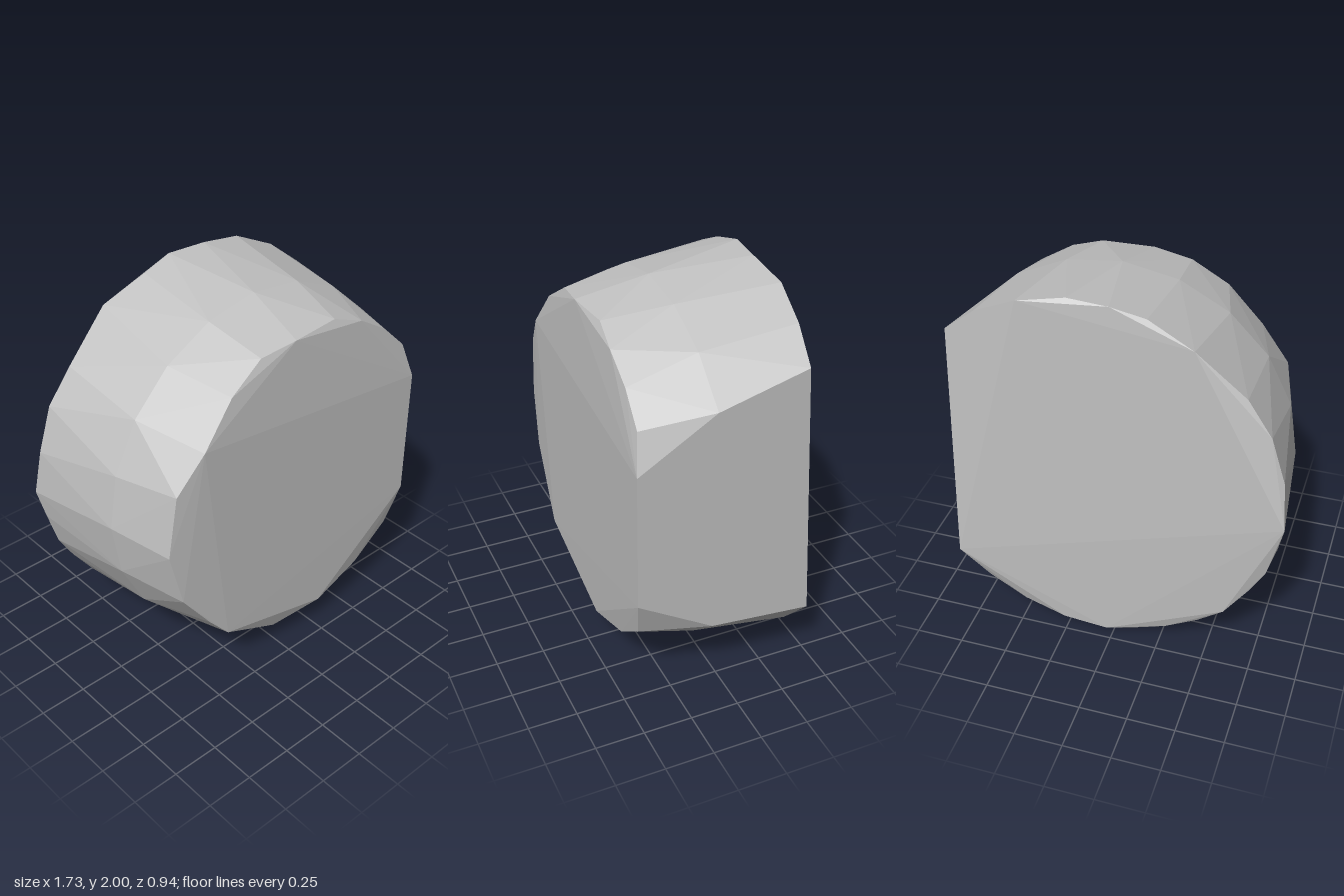
import * as THREE from 'three';
import { ConvexGeometry } from 'three/addons/geometries/ConvexGeometry.js';

// Outline of the smaller front end: x, y, z
const FRONT = [
  [0.86, 1.36, 0.467], [0.795, 1.555, 0.437], [0.65, 1.695, 0.43], [0.48, 1.8, 0.43],
  [0.31, 1.862, 0.41], [0.04, 1.857, 0.43], [-0.16, 1.83, 0.408], [-0.35, 1.71, 0.425],
  [-0.53, 1.5, 0.445], [-0.68, 1.31, 0.42], [-0.73, 0.98, 0.415], [-0.66, 0.68, 0.425],
  [-0.5, 0.46, 0.435], [-0.39, 0.33, 0.445], [-0.2, 0.245, 0.43], [-0.04, 0.145, 0.415],
  [0.26, 0.175, 0.452], [0.56, 0.265, 0.435], [0.78, 0.435, 0.437], [0.86, 0.65, 0.467],
];

// Outline of the wider back end
const BACK = [
  [0.84, 1.71, -0.38], [0.67, 1.85, -0.405], [0.45, 1.955, -0.43], [0.21, 2, -0.41],
  [0, 2, -0.43], [-0.17, 1.955, -0.41], [-0.4, 1.85, -0.445], [-0.645, 1.62, -0.41],
  [-0.77, 1.44, -0.425], [-0.845, 1.2, -0.43], [-0.87, 0.95, -0.47], [-0.84, 0.8, -0.44],
  [-0.79, 0.62, -0.43], [-0.71, 0.48, -0.43], [-0.59, 0.31, -0.44], [-0.45, 0.19, -0.42],
  [-0.28, 0.095, -0.42], [-0.13, 0.04, -0.42], [0.04, 0, -0.435], [0.28, 0.015, -0.43],
  [0.51, 0.07, -0.41], [0.71, 0.19, -0.41], [0.86, 0.36, -0.445],
];

// Bulging middle ring: a circle cut off by the flat side
function middleRing() {
  const points = [];
  const start = 39.05, steps = 16;
  for (let i = 0; i <= steps; i++) {
    const a = THREE.MathUtils.degToRad(start + (360 - 2 * start) * i / steps);
    points.push([0.13 + 0.94 * Math.cos(a), 1.005 + 0.943 * Math.sin(a), 0.08]);
  }
  return points;
}

export function createModel() {
  const grey = new THREE.MeshStandardMaterial({ color: 0xc0c0c0, flatShading: true });
  grey.name = 'grey';

  // Faceted drum with one flat side
  const points = [...FRONT, ...middleRing(), ...BACK].map(p => new THREE.Vector3(...p));
  const body = new THREE.Mesh(new ConvexGeometry(points), grey);
  body.name = 'facetedBody';

  const model = new THREE.Group();
  model.name = 'flatSidedDrum';
  model.add(body);
  return model;
}
